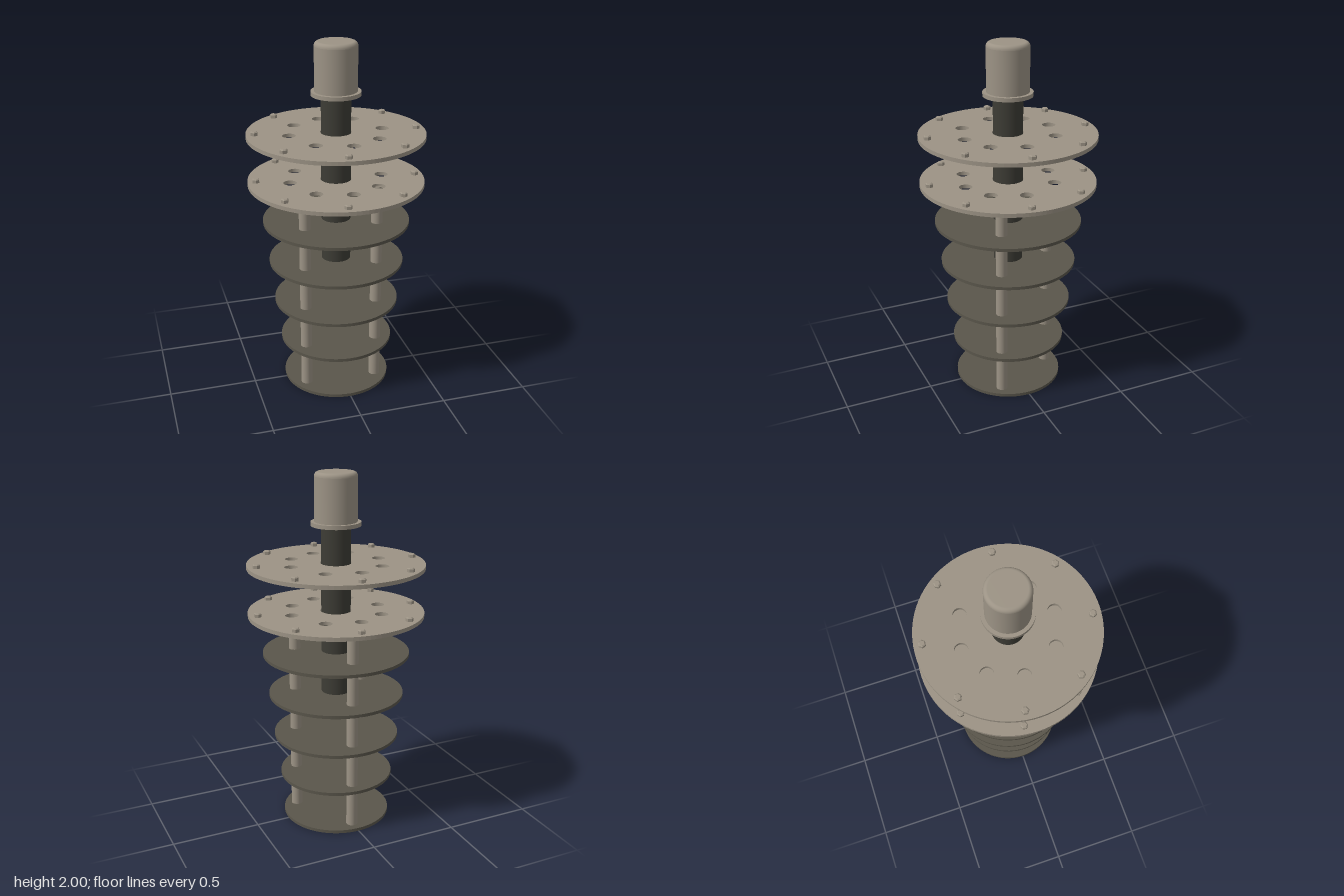
import * as THREE from 'three';

const mat = (name, color) => {
  const m = new THREE.MeshStandardMaterial({ color });
  m.name = name;
  return m;
};

export function createModel() {
  const metal = mat('warm grey metal', 0x9c9385);
  const discGrey = mat('dark disc grey', 0x5a564b);
  const tubeDark = mat('dark tube', 0x3d3c35);
  const model = new THREE.Group();

  const add = (name, geo, material, x = 0, y = 0, z = 0, parent = model) => {
    const mesh = new THREE.Mesh(geo, material);
    mesh.name = name;
    mesh.position.set(x, y, z);
    parent.add(mesh);
    return mesh;
  };
  // Upright cylinder spanning y0 to y1
  const column = (name, r, y0, y1, material, x = 0, z = 0) =>
    add(name, new THREE.CylinderGeometry(r, r, y1 - y0, 64), material, x, (y0 + y1) / 2, z);

  // Stack of solid discs that widens upwards
  [[0, 0.307], [0.248, 0.323], [0.494, 0.356], [0.741, 0.382], [0.984, 0.412]].forEach(([y, r], i) =>
    column(`disc${i + 1}`, r, y, y + 0.018, discGrey));

  // Three support rods
  for (let i = 0; i < 3; i++) {
    const a = THREE.MathUtils.degToRad(-87.6 + i * 120);
    column(`rod${i + 1}`, 0.032, 0.015, 1.22, metal, 0.237 * Math.cos(a), 0.237 * Math.sin(a));
  }

  // Central tube
  column('centralTube', 0.082, 0.752, 1.73, tubeDark);

  // Round plate with a central bore and a ring of eight holes
  const shape = new THREE.Shape();
  shape.absarc(0, 0, 0.49, 0, Math.PI * 2, false);
  const hole = (x, y, r) => {
    const p = new THREE.Path();
    p.absarc(x, y, r, 0, Math.PI * 2, true);
    shape.holes.push(p);
  };
  hole(0, 0, 0.086);
  [1.5, 44, 85, 129.6, 180, 222.7, 263.5, 307].forEach((deg) => {
    const a = THREE.MathUtils.degToRad(deg);
    hole(0.262 * Math.cos(a), -0.262 * Math.sin(a), 0.037);
  });
  const plateGeo = new THREE.ExtrudeGeometry(shape, { depth: 0.022, bevelEnabled: false, curveSegments: 48 });
  plateGeo.rotateX(-Math.PI / 2);

  // Hex bolt head: straight sides and a chamfered crown
  const hexSide = new THREE.CylinderGeometry(0.021, 0.021, 0.017, 6).toNonIndexed();
  hexSide.computeVertexNormals();
  const hexCrown = new THREE.CylinderGeometry(0.014, 0.021, 0.005, 6).toNonIndexed();
  hexCrown.computeVertexNormals();

  [['lowerPlate', 1.214], ['upperPlate', 1.484]].forEach(([name, y]) => {
    const group = new THREE.Group();
    group.name = name;
    group.position.y = y;
    model.add(group);
    add('plate', plateGeo, metal, 0, 0, 0, group);
    for (let i = 0; i < 8; i++) {
      const a = THREE.MathUtils.degToRad(7.8 + i * 45);
      const x = 0.444 * Math.cos(a), z = 0.444 * Math.sin(a);
      add('boltHead', hexSide, metal, x, 0.0305, z, group).rotation.y = -a;
      add('boltCrown', hexCrown, metal, x, 0.0415, z, group).rotation.y = -a;
    }
  });

  // Flange and cap with a softened top edge
  column('capFlange', 0.137, 1.712, 1.734, metal);
  column('capBody', 0.117, 1.73, 1.976, metal);
  const crown = [];
  for (let i = 0; i <= 6; i++) {
    const a = (i / 6) * Math.PI / 2;
    crown.push(new THREE.Vector2(0.095 + 0.022 * Math.cos(a), 1.976 + 0.024 * Math.sin(a)));
  }
  crown.push(new THREE.Vector2(0, 2));
  add('capCrown', new THREE.LatheGeometry(crown, 64), metal);

  return model;
}
